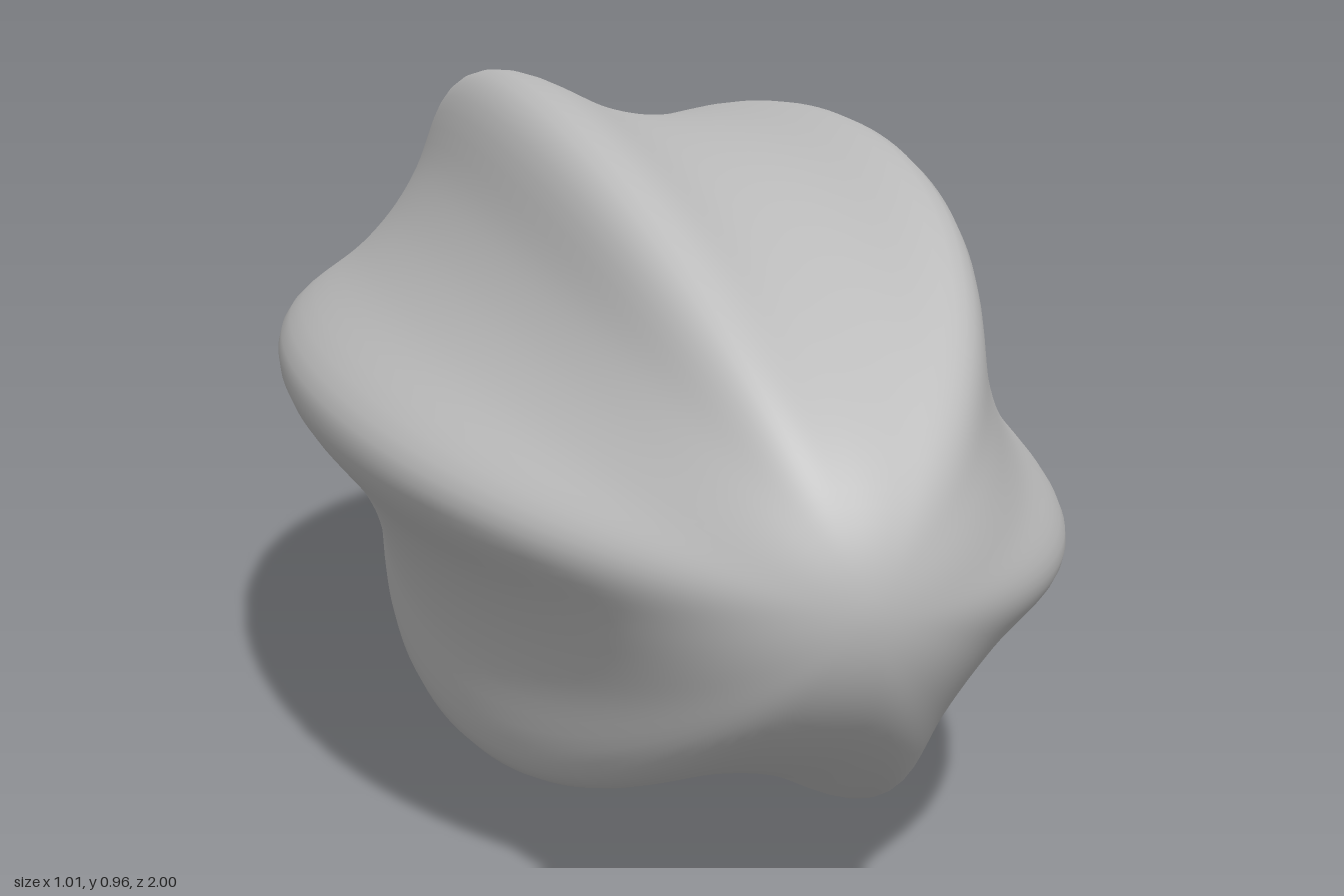
import * as THREE from 'three';
import { mergeVertices } from 'three/addons/utils/BufferGeometryUtils.js';

const LOBES = 6;
const FIRST_RIDGE = THREE.MathUtils.degToRad(52);
const VALLEY = 0.408, RIDGE = 0.512, END = 0.455, CENTRE_Y = 0.48;

// Star cross-section: rounded ridges joined by gently hollow valleys
function starRadius(angle, fade) {
  const wave = (1 + Math.cos(LOBES * (angle - FIRST_RIDGE))) / 2;
  const star = VALLEY + (RIDGE - VALLEY) * (0.45 * wave + 0.55 * wave ** 3);
  return THREE.MathUtils.lerp(END, star, fade);
}

export function createModel() {
  const group = new THREE.Group();
  group.name = 'starFruit';
  const skin = new THREE.MeshStandardMaterial({ color: 0xbcbcbc });
  skin.name = 'grey skin';

  // Sphere with poles on z, reshaped into a long ridged body
  let geometry = new THREE.SphereGeometry(1, 144, 72);
  geometry.rotateX(Math.PI / 2);
  geometry.deleteAttribute('uv');
  geometry.deleteAttribute('normal');
  geometry = mergeVertices(geometry, 1e-5);

  const p = geometry.attributes.position;
  for (let i = 0; i < p.count; i++) {
    const x = p.getX(i), y = p.getY(i), z = p.getZ(i);
    const ring = Math.hypot(x, y);
    const angle = Math.atan2(y, x);
    // Ridges fade out towards the blunt, round ends
    const fade = THREE.MathUtils.smoothstep(ring, 0.05, 0.9);
    const r = starRadius(angle, fade) * ring;
    p.setXYZ(i, r * Math.cos(angle), CENTRE_Y + r * Math.sin(angle), z);
  }
  geometry.computeVertexNormals();

  const body = new THREE.Mesh(geometry, skin);
  body.name = 'ridgedBody';
  group.add(body);
  return group;
}
